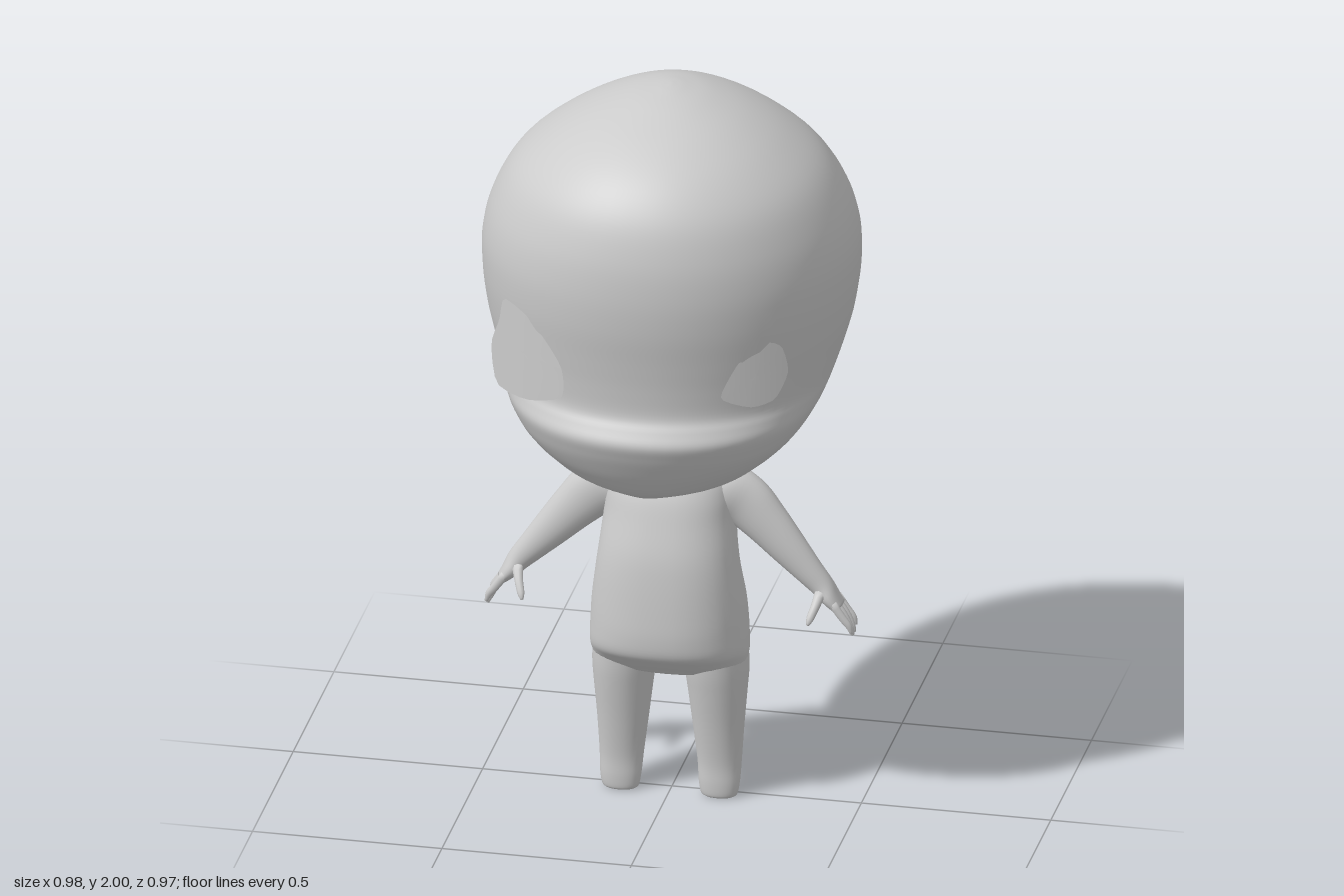
import * as THREE from 'three';

const skin = new THREE.MeshStandardMaterial({ color: 0xcccccc });
skin.name = 'grey skin';
const eyeSkin = skin.clone();
eyeSkin.name = 'grey eye';
eyeSkin.side = THREE.DoubleSide;

// Smooth closed skin over a list of rings, capped at both ends
function loft(rings) {
  const n = rings[0].length, pos = [], index = [];
  rings.forEach(r => r.forEach(p => pos.push(p.x, p.y, p.z)));
  for (let j = 0; j < rings.length - 1; j++) {
    for (let i = 0; i < n; i++) {
      const a = j * n + i, b = j * n + (i + 1) % n;
      index.push(a, a + n, b, b, a + n, b + n);
    }
  }
  [0, rings.length - 1].forEach((j, end) => {
    const c = new THREE.Vector3();
    rings[j].forEach(p => c.addScaledVector(p, 1 / n));
    const k = pos.length / 3;
    pos.push(c.x, c.y, c.z);
    for (let i = 0; i < n; i++) {
      const a = j * n + i, b = j * n + (i + 1) % n;
      if (end) index.push(k, b, a); else index.push(k, a, b);
    }
  });
  const g = new THREE.BufferGeometry();
  g.setAttribute('position', new THREE.Float32BufferAttribute(pos, 3));
  g.setIndex(index);
  g.computeVertexNormals();
  return g;
}

// Spline through rows of numbers, sampled as rows
function smoothRows(rows, steps) {
  const spline = f => new THREE.CatmullRomCurve3(rows.map(f), false, 'catmullrom', 0.5);
  const a = spline(r => new THREE.Vector3(r[0], r[1], r[2]));
  const b = spline(r => new THREE.Vector3(r[3], r[4] || 0, 0));
  return Array.from({ length: steps + 1 }, (_, i) => {
    const p = a.getPoint(i / steps), q = b.getPoint(i / steps);
    return [p.x, p.y, p.z, q.x, q.y];
  });
}

// Upright form; rows are [y, half width, front z, back z, centre x], bottom to top
function upright(rows, steps, power, sides, side = 1) {
  const soft = v => Math.sign(v) * Math.abs(v) ** (2 / power);
  return loft(smoothRows(rows, steps).map(([y, w, zf, zb, x]) =>
    Array.from({ length: sides }, (_, i) => {
      const t = i / sides * Math.PI * 2;
      return new THREE.Vector3(side * x + w * soft(Math.cos(t)), y,
        (zf + zb) / 2 + (zf - zb) / 2 * soft(Math.sin(t)));
    })));
}

// Limb along a path; rows are [x, y, z, radius, z radius]
function limb(rows, steps, sides, side) {
  const path = smoothRows(rows, steps);
  const rings = path.map(([x, y, z, r, rz], j) => {
    const a = path[Math.max(j - 1, 0)], b = path[Math.min(j + 1, steps)];
    const d = new THREE.Vector2(b[0] - a[0], b[1] - a[1]).normalize();
    return Array.from({ length: sides }, (_, i) => {
      const t = i / sides * Math.PI * 2, c = r * Math.cos(t);
      return new THREE.Vector3(side * (x + d.y * c), y - d.x * c, z + rz * Math.sin(t));
    });
  });
  if (side < 0) rings.forEach(r => r.reverse());
  return loft(rings);
}

// Curved eye patch; outline runs anticlockwise, bulge sets its depth
function eyePatch(outline, depth, bulge) {
  const pts = outline.map(([x, y]) => new THREE.Vector3(x, y, 0));
  const curve = new THREE.CatmullRomCurve3(pts, true, 'catmullrom', 0.35);
  const mid = new THREE.Vector3();
  pts.forEach(p => mid.addScaledVector(p, 1 / pts.length));
  const g = new THREE.RingGeometry(0, 1, 28, 5), pos = g.attributes.position;
  for (let i = 0; i < pos.count; i++) {
    const x = pos.getX(i), y = pos.getY(i);
    const t = (Math.atan2(y, x) / (2 * Math.PI) + 1) % 1;
    const p = mid.clone().lerp(curve.getPoint(t), Math.hypot(x, y));
    pos.setXYZ(i, p.x, p.y, depth - bulge * p.x * p.x);
  }
  g.computeVertexNormals();
  return g;
}

export function createModel() {
  const model = new THREE.Group();
  model.name = 'figure';
  const add = (name, geometry, material = skin) => {
    const mesh = new THREE.Mesh(geometry, material);
    mesh.name = name;
    model.add(mesh);
  };

  // Large head with a low muzzle ridge
  add('head', upright([
    [0.962, 0.03, 0.29, 0.02], [0.97, 0.08, 0.335, -0.04], [1.0, 0.22, 0.38, -0.065],
    [1.05, 0.295, 0.42, -0.095], [1.1, 0.35, 0.45, -0.16], [1.14, 0.383, 0.47, -0.24],
    [1.18, 0.407, 0.483, -0.31], [1.215, 0.422, 0.466, -0.352], [1.25, 0.434, 0.448, -0.385],
    [1.32, 0.455, 0.452, -0.43], [1.4, 0.475, 0.463, -0.46], [1.5, 0.488, 0.478, -0.48],
    [1.6, 0.486, 0.483, -0.478], [1.7, 0.458, 0.473, -0.45], [1.8, 0.4, 0.44, -0.385],
    [1.88, 0.31, 0.375, -0.3], [1.94, 0.21, 0.275, -0.21], [1.98, 0.11, 0.15, -0.12],
    [1.996, 0.04, 0.06, -0.05], [2.0, 0.005, 0.01, -0.01],
  ], 95, 2.08, 64));

  // Neck, belly and seat
  add('torso', upright([
    [0.352, 0.07, 0.06, -0.04], [0.36, 0.15, 0.09, -0.065], [0.38, 0.195, 0.115, -0.085],
    [0.41, 0.206, 0.15, -0.108], [0.44, 0.207, 0.178, -0.125], [0.49, 0.205, 0.186, -0.135],
    [0.56, 0.2, 0.184, -0.122], [0.65, 0.188, 0.177, -0.092], [0.72, 0.179, 0.167, -0.09],
    [0.8, 0.171, 0.146, -0.105], [0.86, 0.168, 0.128, -0.105], [0.905, 0.155, 0.108, -0.088],
    [0.935, 0.115, 0.095, -0.068], [0.95, 0.072, 0.085, -0.058], [0.98, 0.062, 0.085, -0.058],
    [1.03, 0.085, 0.11, -0.08],
  ], 75, 2.3, 40));

  for (const [label, side] of [['left', 1], ['right', -1]]) {
    // Tapering leg with a blunt foot
    add(label + 'Leg', upright([
      [0, 0.04, 0.05, 0, 0.13], [0.008, 0.048, 0.056, -0.006, 0.13],
      [0.04, 0.054, 0.059, -0.015, 0.13], [0.1, 0.058, 0.061, -0.032, 0.129],
      [0.2, 0.067, 0.076, -0.05, 0.126], [0.3, 0.077, 0.094, -0.066, 0.124],
      [0.36, 0.083, 0.104, -0.078, 0.122], [0.42, 0.083, 0.11, -0.08, 0.12],
    ], 35, 2.1, 28, side));

    // Arm running into a flat palm
    add(label + 'Arm', limb([
      [0.08, 0.865, 0.01, 0.05, 0.045], [0.14, 0.862, 0.01, 0.076, 0.058],
      [0.195, 0.835, 0.008, 0.074, 0.05], [0.25, 0.782, 0.01, 0.063, 0.044],
      [0.31, 0.716, 0.013, 0.051, 0.038], [0.365, 0.655, 0.015, 0.039, 0.032],
      [0.398, 0.618, 0.014, 0.032, 0.031], [0.42, 0.588, 0.012, 0.025, 0.038],
      [0.443, 0.56, 0.01, 0.016, 0.037],
    ], 40, 24, side));

    // Four fingers and a thumb
    for (let i = 0; i < 4; i++) {
      const z = 0.04 - 0.02 * i, tip = i === 0 || i === 3 ? 0.012 : 0;
      add(label + 'Finger' + (i + 1), limb([
        [0.432, 0.578, z, 0.012, 0.009], [0.459, 0.54, z, 0.011, 0.0085],
        [0.475, 0.507 + tip, z, 0.009, 0.007], [0.482, 0.486 + tip, z, 0.004, 0.003],
      ], 9, 10, side));
    }
    add(label + 'Thumb', limb([
      [0.402, 0.612, 0.03, 0.016, 0.016], [0.392, 0.578, 0.06, 0.012, 0.013],
      [0.382, 0.55, 0.08, 0.01, 0.009], [0.377, 0.534, 0.088, 0.004, 0.004],
    ], 9, 10, side));
  }

  // Uneven eye patches, the right one larger and standing proud
  add('rightEye', eyePatch([
    [-0.2, 1.36], [-0.24, 1.42], [-0.3, 1.48], [-0.37, 1.505], [-0.385, 1.44],
    [-0.41, 1.36], [-0.392, 1.255], [-0.3, 1.243], [-0.2, 1.28],
  ], 0.462, 0.9), eyeSkin);
  add('leftEye', eyePatch([
    [0.375, 1.36], [0.36, 1.435], [0.32, 1.455], [0.27, 1.42], [0.235, 1.36],
    [0.22, 1.31], [0.29, 1.277], [0.345, 1.29],
  ], 0.466, 1.05), eyeSkin);

  return model;
}
